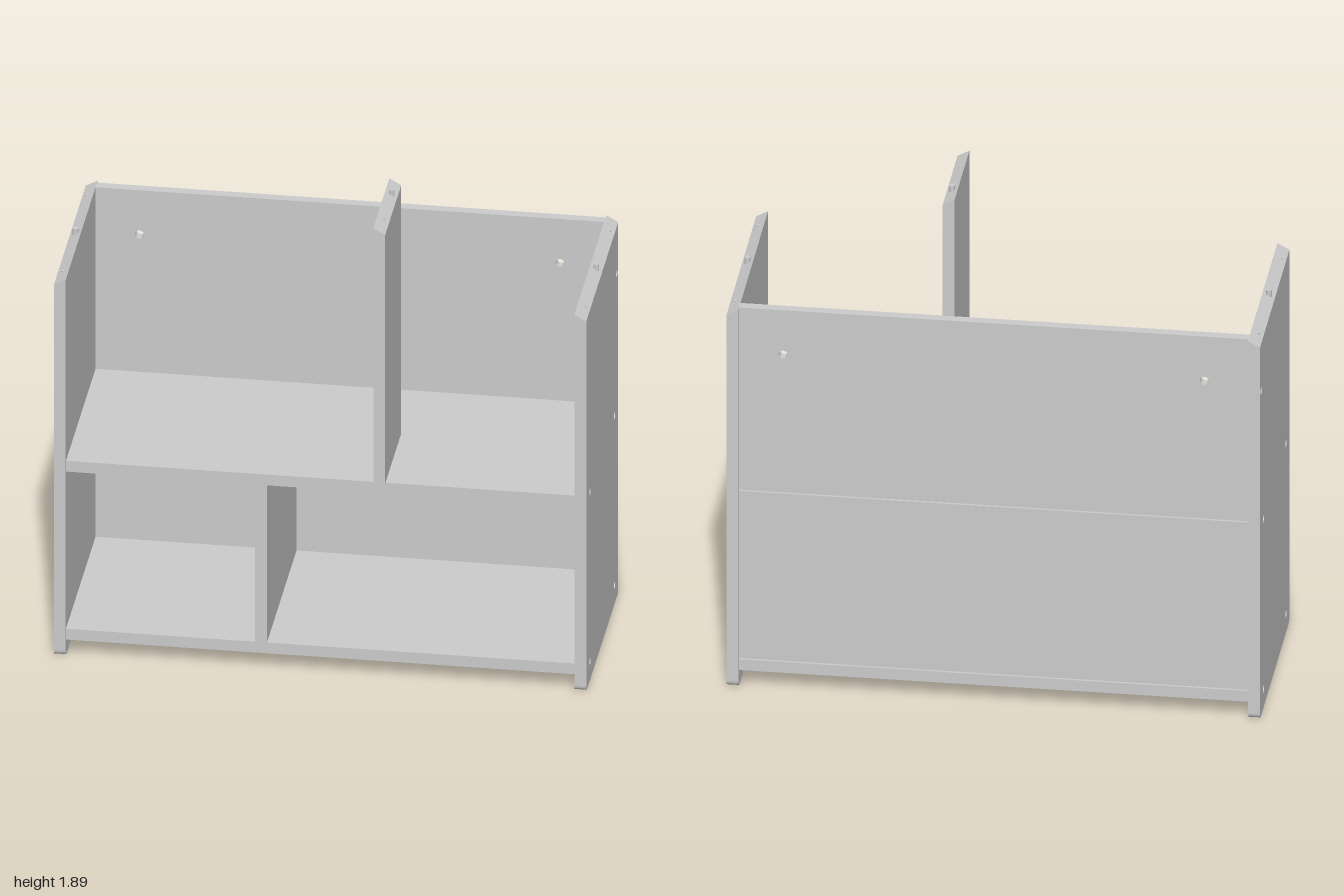
import * as THREE from 'three';

const material = new THREE.MeshStandardMaterial({ color: 0xcccccc });
const T = 0.045; // board thickness

export function createModel() {
  const model = new THREE.Group();

  const add = (name, geometry) => {
    const mesh = new THREE.Mesh(geometry, material);
    mesh.name = name;
    model.add(mesh);
    return mesh;
  };

  // Box given by its limits on each axis
  const board = (name, [x0, x1], [y0, y1], [z0, z1]) =>
    add(name, new THREE.BoxGeometry(x1 - x0, y1 - y0, z1 - z0)
      .translate((x0 + x1) / 2, (y0 + y1) / 2, (z0 + z1) / 2));

  const drill = (shape, u, v, r) =>
    shape.holes.push(new THREE.Path().absarc(u, v, r, 0, Math.PI * 2, true));

  // Upright board whose top slopes down towards the side given by slope (+1 or -1)
  const upright = (name, x0, [y0, y1], [z0, z1], slope, r, holes) => {
    const s = new THREE.Shape();
    s.moveTo(-z1 + r, y0);
    s.lineTo(-z0 - r, y0);
    if (r) s.quadraticCurveTo(-z0, y0, -z0, y0 + r);
    s.lineTo(-z0, y1);
    s.lineTo(-z1, y1);
    s.lineTo(-z1, y0 + r);
    if (r) s.quadraticCurveTo(-z1, y0, -z1 + r, y0);
    holes.forEach(([z, y]) => drill(s, -z, y, 0.016));
    const g = new THREE.ExtrudeGeometry(s, { depth: T, bevelEnabled: false, curveSegments: 10 });
    g.rotateY(Math.PI / 2).translate(x0, 0, 0);
    const p = g.attributes.position;
    for (let i = 0; i < p.count; i++) {
      const lowSide = (p.getX(i) - x0 - T / 2) * slope > 0;
      if (lowSide && p.getY(i) > y1 - 0.001) p.setY(i, y1 - 0.025);
    }
    g.computeVertexNormals();
    add(name, g);
  };

  // Round peg along y or x
  const peg = (name, r, length, [x, y, z], alongX) => {
    const mesh = add(name, new THREE.CylinderGeometry(r, r, length, 16));
    mesh.position.set(x, y, z);
    if (alongX) mesh.rotation.z = Math.PI / 2;
  };

  // Side panels with recessed screws and top dowels
  const screws = [[0.31, 0.79], [-0.31, 0.79], [0.31, 0.08], [-0.31, 0.08], [-0.37, 1.355]];
  for (const side of [1, -1]) {
    const label = side > 0 ? 'left' : 'right';
    upright(label + 'SidePanel', side > 0 ? 1 - T : -1, [0, 1.575], [-0.405, 0.405], side, 0.025, screws);
    for (const [z, y] of screws) peg(label + 'Screw', 0.011, 0.035, [side * 0.973, y, z], true);
    peg(label + 'TopDowel', 0.011, 0.05, [side * 0.978, 1.56, 0.005]);
    for (const z of [-0.31, 0.31]) peg(label + 'TopPin', 0.007, 0.02, [side * 0.98, 1.555, z]);
  }

  // Shelves
  const inner = [-1 + T, 1 - T];
  board('bottomShelf', inner, [0.067, 0.112], [-0.398, 0.4]);
  board('middleShelf', inner, [0.77, 0.815], [-0.398, 0.4]);

  // Dividers
  board('lowerDivider', [-0.245, -0.2], [0.112, 0.77], [-0.35, 0.4]);
  upright('upperDivider', 0.2, [0.815, 1.88], [0, 0.405], 1, 0, []);
  peg('dividerTopDowel', 0.011, 0.05, [0.224, 1.863, 0.1]);
  peg('dividerTopPin', 0.007, 0.02, [0.222, 1.861, 0.3]);
  for (const z of [-0.3, 0.3]) peg('bottomScrew', 0.013, 0.01, [-0.222, 0.069, z]);

  // Back panels; the upper one has two round holes
  const back = (name, y0, y1, holes) => {
    const s = new THREE.Shape();
    s.moveTo(inner[0], y0);
    s.lineTo(inner[1], y0);
    s.lineTo(inner[1], y1);
    s.lineTo(inner[0], y1);
    holes.forEach(([x, y]) => drill(s, x, y, 0.017));
    add(name, new THREE.ExtrudeGeometry(s, { depth: 0.038, bevelEnabled: false, curveSegments: 10 })
      .translate(0, 0, -0.388));
  };
  back('lowerBackPanel', 0.112, 0.77, []);
  back('upperBackPanel', 0.815, 1.575, [[-0.79, 1.39], [0.79, 1.39]]);

  return model;
}
